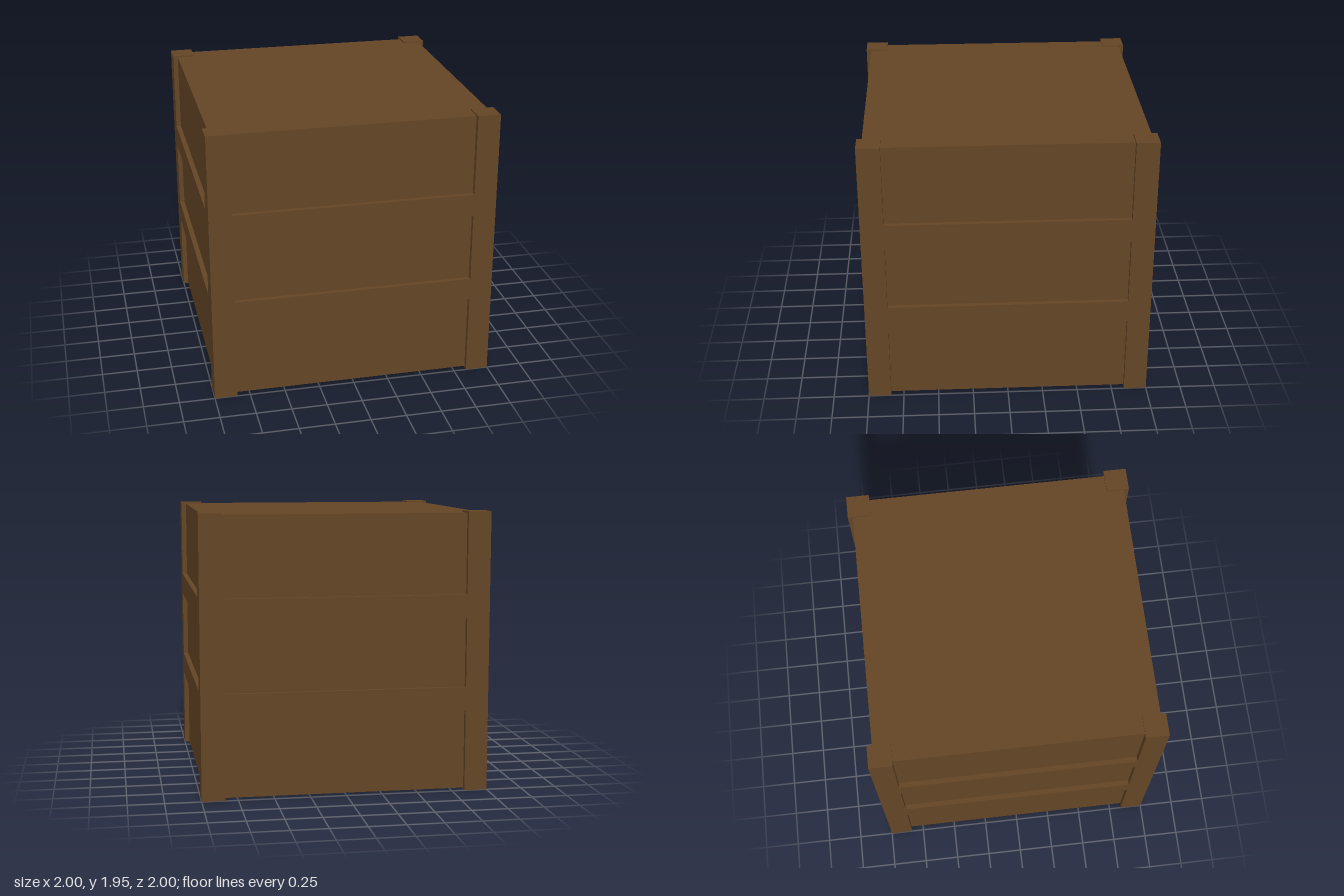
import * as THREE from 'three';

const HEIGHT = 1.95;
const POST = 0.16; // post width, also the rail height
const PANEL = 0.965; // half width of the recessed body

export function createModel() {
  const model = new THREE.Group();
  model.name = 'crate';
  const wood = new THREE.MeshStandardMaterial({ color: 0x644524 });
  wood.name = 'brown wood';

  const addBox = (parent, name, size, position) => {
    const mesh = new THREE.Mesh(new THREE.BoxGeometry(...size), wood);
    mesh.name = name;
    mesh.position.set(...position);
    parent.add(mesh);
  };

  // Recessed body, slightly shorter than the posts
  addBox(model, 'body', [2 * PANEL, HEIGHT - 0.022, 2 * PANEL], [0, HEIGHT / 2, 0]);

  // Each quarter turn adds one corner post and one side's rails
  for (let i = 0; i < 4; i++) {
    const side = new THREE.Group();
    side.name = `frameSide${i + 1}`;
    side.rotation.y = (i * Math.PI) / 2;
    const c = 1 - POST / 2;
    addBox(side, 'cornerPost', [POST, HEIGHT, POST], [c, HEIGHT / 2, c]);

    // Two horizontal rails, flush with the post faces
    const depth = 1 - PANEL;
    for (const [name, y] of [['lowerRail', 0.655], ['upperRail', 1.3]]) {
      addBox(side, name, [2 - 2 * POST, POST, depth], [0, y, 1 - depth / 2]);
    }
    model.add(side);
  }
  return model;
}
